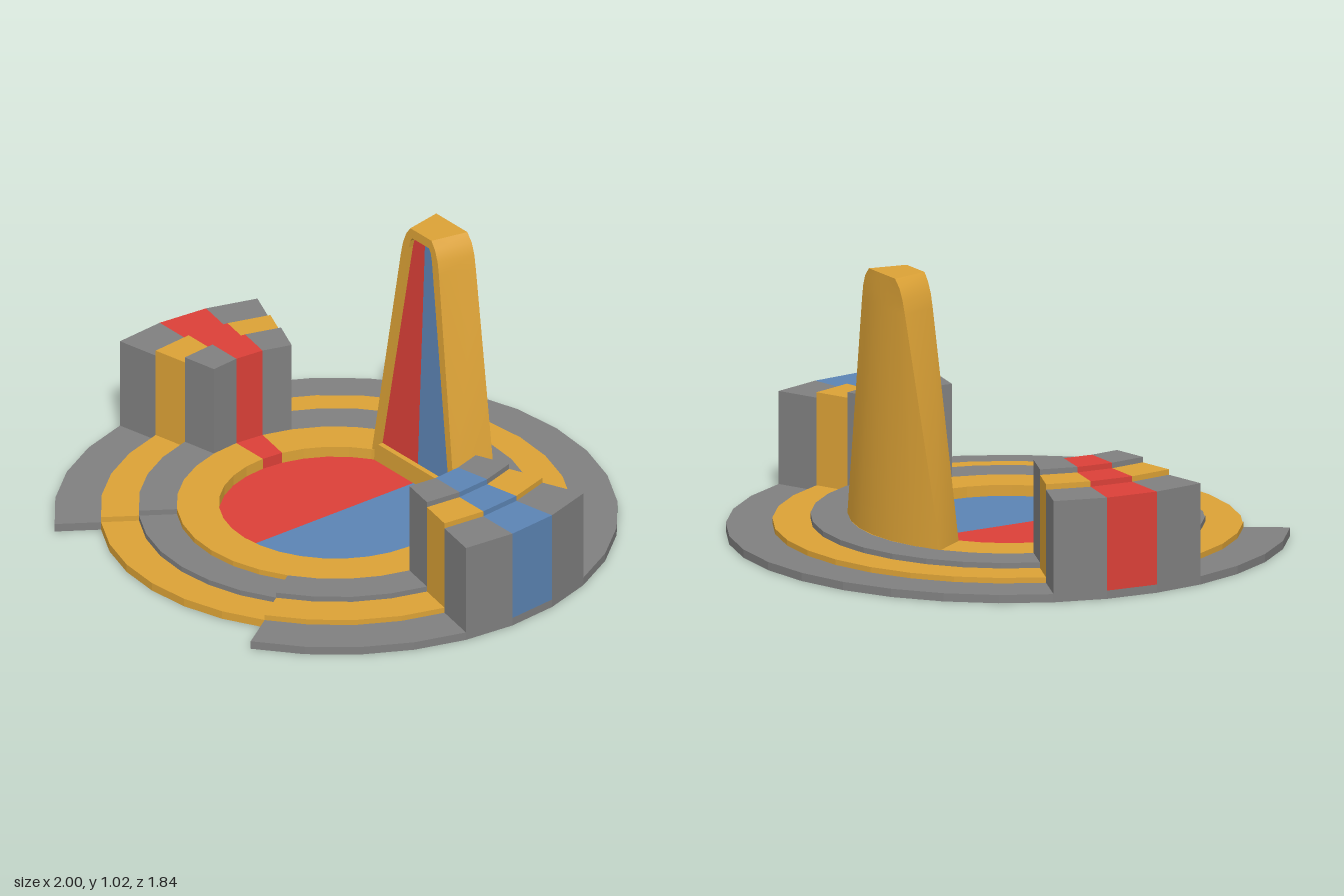
import * as THREE from 'three';
import { toCreasedNormals } from 'three/addons/utils/BufferGeometryUtils.js';

const GREY = 0x808080, GOLD = 0xdca236, RED = 0xdc4038, BLUE = 0x5c84b4;
const N = 32, STEP = (Math.PI * 2) / N, CZ = 0.08;
const DISC_Y = 0.03;

const material = (color, flatShading) =>
  new THREE.MeshStandardMaterial({ color, flatShading, side: THREE.DoubleSide });

// Mesh from a list of four-cornered faces
function quadMesh(name, quads, color, flat = true) {
  const pos = [];
  for (const [a, b, c, d] of quads) pos.push(...a, ...b, ...c, ...a, ...c, ...d);
  let geo = new THREE.BufferGeometry();
  geo.setAttribute('position', new THREE.Float32BufferAttribute(pos, 3));
  if (flat) geo.computeVertexNormals();
  else geo = toCreasedNormals(geo, 0.5);
  const mesh = new THREE.Mesh(geo, material(color, flat));
  mesh.name = name;
  return mesh;
}

// Faces between successive rows of points
function loft(rows) {
  const quads = [];
  for (let i = 0; i + 1 < rows.length; i++)
    for (let j = 0; j + 1 < rows[i].length; j++)
      quads.push([rows[i][j], rows[i][j + 1], rows[i + 1][j + 1], rows[i + 1][j]]);
  return quads;
}

// Concentric bands, from the inside out: radii, heights at the back and front
const BANDS = [
  { name: 'innerRing', r0: 0.415, r1: 0.565, back: 0.07, front: 0.07, color: GOLD },
  { name: 'middleRing', r0: 0.565, r1: 0.70, back: 0.07, front: 0.05, block: 0.41, color: GREY },
  { name: 'goldRing', r0: 0.70, r1: 0.835, back: 0.05, front: 0.03, block: 0.39, color: GOLD },
  { name: 'outerRing', r0: 0.835, r1: 1.0, back: 0.03, front: 0, block: 0.37, color: GREY },
];
const BLOCK_SECTORS = { 31: 'left', 0: 'left', 1: 'left', 14: 'right', 15: 'right', 16: 'right' };
const STRIPES = { 0: BLUE, 15: RED };

const polar = (r, i, y) => [r * Math.cos(i * STEP), y, CZ - r * Math.sin(i * STEP)];

// Stepped rings with the two raised blocks, one cell per band and sector
function buildRings(group) {
  const base = (b, s) => (s >= 21 && s <= 26 ? BANDS[b].front : BANDS[b].back);
  const height = (b, s) => {
    if (b < 0) return DISC_Y;
    if (b >= BANDS.length) return 0;
    s = (s + N) % N;
    return s in BLOCK_SECTORS && BANDS[b].block ? BANDS[b].block : base(b, s);
  };
  const parts = new Map();
  const add = (name, color, quad) => {
    const key = name + color;
    if (!parts.has(key)) parts.set(key, { name, color, quads: [] });
    parts.get(key).quads.push(quad);
  };
  BANDS.forEach((band, b) => {
    for (let s = 0; s < N; s++) {
      const h = height(b, s), low = base(b, s);
      if (h === 0) continue;
      const raised = h > low;
      const color = STRIPES[s] ?? band.color;
      const name = raised ? BLOCK_SECTORS[s] + 'Block' : band.name;
      add(name, color, [polar(band.r0, s, h), polar(band.r1, s, h),
        polar(band.r1, s + 1, h), polar(band.r0, s + 1, h)]);
      // Wall down to a lower neighbour, in the ring's own colour near the base
      const wall = (ra, ia, rb, ib, to) => {
        const face = (n, c, top, bottom) => {
          if (top > bottom) add(n, c, [polar(ra, ia, bottom), polar(rb, ib, bottom),
            polar(rb, ib, top), polar(ra, ia, top)]);
        };
        face(name, color, h, Math.max(to, raised ? low : 0));
        if (raised) face(band.name, band.color, low, to);
      };
      wall(band.r1, s, band.r1, s + 1, height(b + 1, s));
      wall(band.r0, s + 1, band.r0, s, height(b - 1, s));
      wall(band.r0, s, band.r1, s, height(b, s - 1));
      wall(band.r1, s + 1, band.r0, s + 1, height(b, s + 1));
    }
  });
  for (const p of parts.values()) group.add(quadMesh(p.name, p.quads, p.color));
}

// Two-coloured sunken disc and the closed drum below it
function buildDisc(group) {
  for (const [name, color, start] of [['discLeft', BLUE, -Math.PI / 2], ['discRight', RED, Math.PI / 2]]) {
    const half = new THREE.Mesh(new THREE.CircleGeometry(0.415, N / 2, start, Math.PI), material(color, true));
    half.name = name;
    half.rotation.x = -Math.PI / 2;
    half.position.set(0, DISC_Y, CZ);
    group.add(half);
  }
  const bottom = new THREE.Mesh(new THREE.CircleGeometry(0.565, N), material(GREY, true));
  bottom.name = 'drumBottom';
  bottom.rotation.x = Math.PI / 2;
  bottom.position.z = CZ;
  const rows = [0, 0.05].map((y) => Array.from({ length: N + 1 }, (_, i) => polar(0.565, i, y)));
  group.add(bottom, quadMesh('drumWall', loft(rows), GREY));
}

// Tapered tower with a curved back and a framed, recessed front panel
function buildTower(group) {
  const tower = new THREE.Group();
  tower.name = 'tower';
  // height, half width at the front, half width at the back
  const levels = [[0.03, 0.233, 0.313], [0.07, 0.233, 0.313], [0.90, 0.108, 0.144],
    [0.95, 0.098, 0.132], [0.99, 0.082, 0.115], [1.02, 0.06, 0.088]];
  // height, half width of the panel, one per level
  const panel = [[0.10, 0.20], [0.14, 0.1935], [0.89, 0.074], [0.94, 0.066], [0.97, 0.058], [0.985, 0.048]];
  const rise = (y) => Math.max(0, (y - 0.07) / 0.95);
  const frontZ = (y) => -0.27 - 0.035 * rise(y);

  const shell = levels.map(([y, wf, wb]) => {
    const t = rise(y), row = [[wf, y, frontZ(y)]];
    for (let k = 0; k <= 6; k++) {
      const u = 1 - k / 3;
      row.push([wb * u, y, -0.395 - 0.05 * t - 0.088 * (1 - t) * (1 - u * u)]);
    }
    row.push([-wf, y, frontZ(y)]);
    return row;
  });
  const top = shell[shell.length - 1];
  const cap = loft([top.slice(0, 5), top.slice(4).reverse()]);

  // Closed outlines for the frame and the panel's edge
  const outline = (rows, depth) => {
    const side = (s, list) => list.map(([y, w]) => [s * w, y, frontZ(y) - depth]);
    const loop = [...side(1, rows), ...side(-1, [...rows].reverse())];
    return [...loop, loop[0]];
  };
  const frame = loft([outline(levels, 0), outline(panel, 0), outline(panel, 0.02)]);
  tower.add(quadMesh('towerShell', [...loft(shell), ...cap], GOLD, false));
  tower.add(quadMesh('towerFrame', frame, GOLD));
  for (const [name, s, color] of [['panelLeft', 1, BLUE], ['panelRight', -1, RED]]) {
    const rows = panel.map(([y, w]) => {
      const z = frontZ(y) - 0.02;
      const row = [[0, y, z], [s * w, y, z]];
      return s > 0 ? row : row.reverse();
    });
    tower.add(quadMesh(name, loft(rows), color));
  }
  group.add(tower);
}

export function createModel() {
  const group = new THREE.Group();
  group.name = 'steppedRingPlatform';
  buildRings(group);
  buildDisc(group);
  buildTower(group);
  return group;
}
